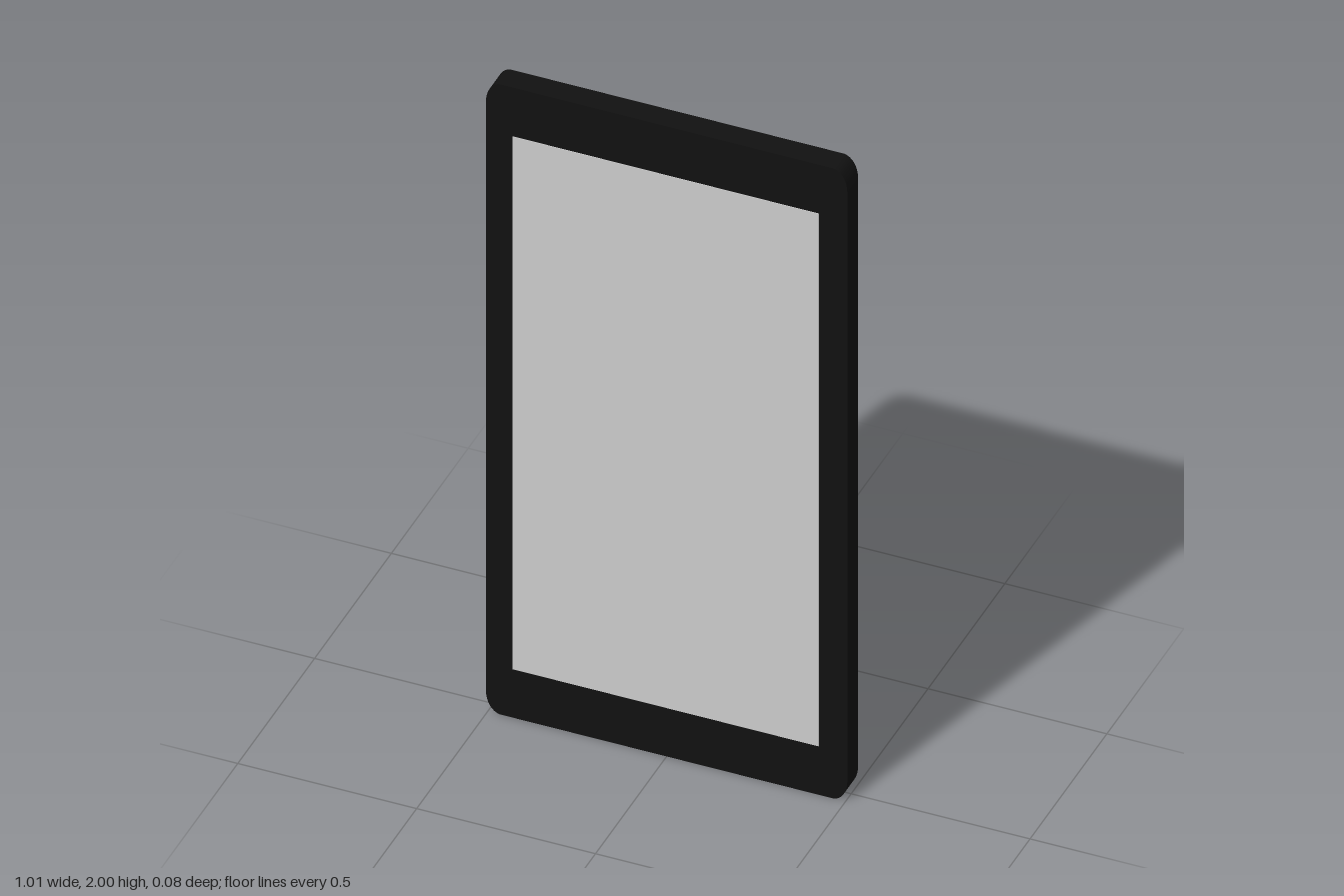
import * as THREE from 'three';

const mat = (color) => new THREE.MeshStandardMaterial({ color });

function add(group, name, geometry, material, x, y, z) {
  const mesh = new THREE.Mesh(geometry, material);
  mesh.name = name;
  mesh.position.set(x, y, z);
  group.add(mesh);
  return mesh;
}

// Rectangle outline with elliptical corners, centred on the origin
function roundedOutline(w, h, rx, ry) {
  const shape = new THREE.Shape();
  const cx = w / 2 - rx, cy = h / 2 - ry;
  const corners = [[cx, cy], [-cx, cy], [-cx, -cy], [cx, -cy]];
  shape.moveTo(w / 2, -cy);
  corners.forEach(([x, y], i) => {
    shape.absellipse(x, y, rx, ry, i * Math.PI / 2, (i + 1) * Math.PI / 2, false, 0);
  });
  return shape;
}

export function createModel() {
  const phone = new THREE.Group();
  phone.name = 'phone';
  const black = mat(0x111111), darkGrey = mat(0x444444), grey = mat(0xcccccc);

  // Slab body
  const back = -0.033, front = 0.037;
  const body = new THREE.ExtrudeGeometry(roundedOutline(1.01, 2, 0.042, 0.065), {
    depth: front - back, bevelEnabled: false, curveSegments: 8,
  });
  add(phone, 'body', body, black, 0, 1, back);

  // Screen, barely proud of the front
  add(phone, 'screen', new THREE.BoxGeometry(0.855, 1.69, 0.004), grey, -0.002, 1, front);

  // Camera plate with three lenses on the back
  const camera = new THREE.Group();
  camera.name = 'cameraModule';
  camera.position.set(-0.292, 1.815, back);
  phone.add(camera);
  add(camera, 'cameraPlate', new THREE.BoxGeometry(0.286, 0.23, 0.008), darkGrey, 0, 0, 0);
  const lens = new THREE.CylinderGeometry(0.048, 0.048, 0.008, 32).rotateX(Math.PI / 2);
  for (const [x, y] of [[0, 0.05], [-0.07, -0.045], [0.07, -0.045]]) {
    add(camera, 'cameraLens', lens, grey, x, y, -0.004);
  }
  return phone;
}
